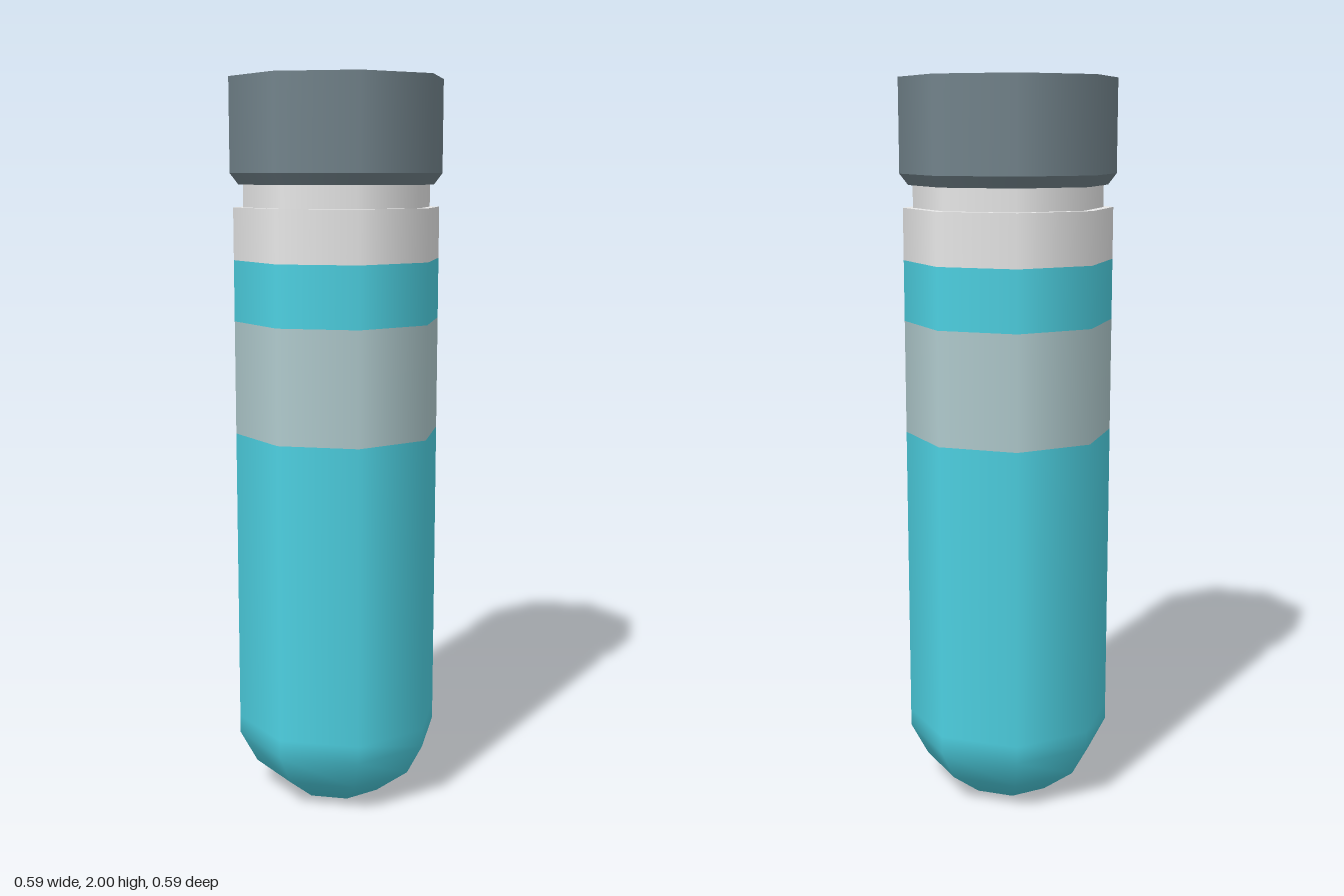
import * as THREE from 'three';
import { mergeGeometries } from 'three/addons/utils/BufferGeometryUtils.js';

const SIDES = 8;

const paint = (name, color) => {
  const m = new THREE.MeshStandardMaterial({ color });
  m.name = name;
  return m;
};

// Turned part: each run of [radius, height] points is smooth, with sharp edges between runs
function turned(name, material, ...runs) {
  const parts = runs.map(run =>
    new THREE.LatheGeometry(run.map(([r, y]) => new THREE.Vector2(r, y)), SIDES));
  const mesh = new THREE.Mesh(mergeGeometries(parts), material);
  mesh.name = name;
  return mesh;
}

export function createModel() {
  const teal = paint('teal', 0x4dd0e1);
  const white = paint('white', 0xeaeaea);
  const label = paint('pale blue grey', 0xb0cacd);
  const slate = paint('slate', 0x72838b);
  const R = 0.285, neckR = 0.258, capR = 0.293;

  const group = new THREE.Group();
  group.name = 'vial';

  group.add(
    // Rounded base and main barrel
    turned('barrel', teal, [[0, 0], [0.135, 0], [0.237, 0.08], [R, 0.17], [R, 0.22], [R, 1.045]]),
    // Bands round the barrel
    turned('labelBand', label, [[R, 1.045], [R, 1.355]]),
    turned('upperBand', teal, [[R, 1.355], [R, 1.52]]),
    // Shoulder with its ledge, and the neck rising into the cap
    turned('shoulder', white, [[R, 1.52], [R, 1.66]], [[R, 1.66], [neckR, 1.66]]),
    turned('neck', white, [[neckR, 1.66], [neckR, 1.73]]),
    // Cap with a chamfered lower edge
    turned('cap', slate,
      [[0, 1.72], [0.27, 1.72]],
      [[0.27, 1.72], [capR, 1.75]],
      [[capR, 1.75], [capR, 2]],
      [[capR, 2], [0, 2]]),
  );
  return group;
}
